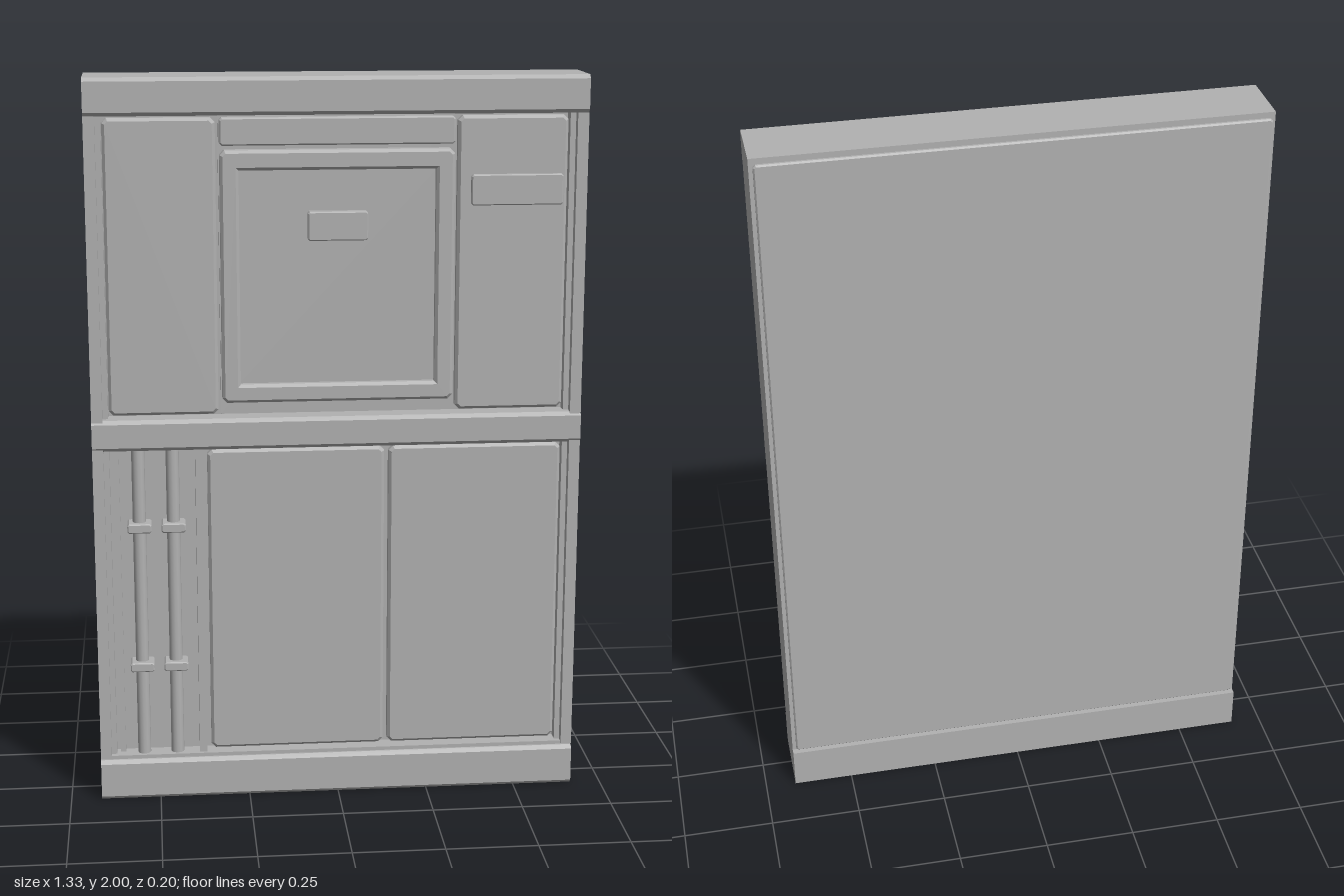
import * as THREE from 'three';

const grey = new THREE.MeshStandardMaterial({ color: 0xb2b2b2 });
grey.name = 'panel grey';

export function createModel() {
  const root = new THREE.Group();
  root.name = 'wallPanel';

  const add = (name, geometry) => {
    const mesh = new THREE.Mesh(geometry, grey);
    mesh.name = name;
    root.add(mesh);
    return mesh;
  };

  // plain block given by its limits
  const block = (name, x0, x1, y0, y1, z0, z1) =>
    add(name, new THREE.BoxGeometry(x1 - x0, y1 - y0, z1 - z0)
      .translate((x0 + x1) / 2, (y0 + y1) / 2, (z0 + z1) / 2));

  // chamfered slab with clipped corners and an optional rectangular opening
  const slab = (name, x0, x1, y0, y1, z0, z1, b = 0.008, hole = null) => {
    const c = b;
    const [l, r, d, u] = [x0 + b, x1 - b, y0 + b, y1 - b];
    const shape = new THREE.Shape([
      [l + c, d], [r - c, d], [r, d + c], [r, u - c],
      [r - c, u], [l + c, u], [l, u - c], [l, d + c],
    ].map(p => new THREE.Vector2(...p)));
    if (hole) {
      const [hl, hr, hd, hu] = [hole[0] - b, hole[1] + b, hole[2] - b, hole[3] + b];
      shape.holes.push(new THREE.Path([[hl, hd], [hl, hu], [hr, hu], [hr, hd]]
        .map(p => new THREE.Vector2(...p))));
    }
    return add(name, new THREE.ExtrudeGeometry(shape, {
      depth: z1 - z0 - 2 * b, bevelEnabled: true, bevelSize: b,
      bevelThickness: b, bevelSegments: 1,
    }).translate(0, 0, z0 + b));
  };

  // full-width rail with chamfered front edges
  const rail = (name, y0, y1, z0, z1) => {
    const b = 0.01;
    const profile = new THREE.Shape([
      [z0, y0], [z1 - b, y0], [z1, y0 + b], [z1, y1 - b], [z1 - b, y1], [z0, y1],
    ].map(p => new THREE.Vector2(...p)));
    add(name, new THREE.ExtrudeGeometry(profile, { depth: 1.33, bevelEnabled: false })
      .rotateY(-Math.PI / 2).translate(0.665, 0, 0));
  };

  // carcass and rear plate with a shadow gap around it
  block('carcass', -0.665, 0.665, 0.12, 1.9, -0.08, 0.035);
  block('rearSpacer', -0.645, 0.645, 0.12, 1.975, -0.088, -0.08);
  slab('rearPlate', -0.655, 0.655, 0.125, 1.988, -0.098, -0.084, 0.004);

  // horizontal rails
  rail('topRail', 1.9, 2, -0.08, 0.1);
  rail('middleRail', 1.005, 1.09, 0.03, 0.1);
  rail('baseRail', 0, 0.115, -0.098, 0.1);
  block('baseStep', -0.665, 0.665, 0.115, 0.125, -0.08, 0.085);

  // side stiles with an inner step
  for (const s of [-1, 1]) {
    for (const [x0, x1, z] of [[0.635, 0.665, 0.095], [0.62, 0.635, 0.07]]) {
      block('sideStile', Math.min(s * x0, s * x1), Math.max(s * x0, s * x1), 0.12, 1.9, 0.03, z);
    }
  }

  // fixed panels
  slab('upperPanel', -0.618, -0.322, 1.095, 1.892, 0.02, 0.06);
  slab('upperPanel', 0.322, 0.618, 1.095, 1.892, 0.02, 0.06);
  slab('lowerPanel', -0.355, 0.13, 0.128, 0.995, 0.02, 0.06);
  slab('lowerPanel', 0.142, 0.618, 0.128, 0.995, 0.02, 0.06);

  // central hatch with a framed recess
  block('hatchBacking', -0.315, 0.315, 1.095, 1.895, 0.02, 0.05);
  slab('hatchFrame', -0.312, 0.312, 1.13, 1.808, 0.035, 0.085, 0.008,
    [-0.262, 0.262, 1.18, 1.755]);
  block('hatchPanel', -0.275, 0.275, 1.17, 1.765, 0.035, 0.062);
  slab('hatchHeader', -0.312, 0.312, 1.82, 1.893, 0.035, 0.08, 0.004);
  slab('hatchHandle', -0.08, 0.08, 1.568, 1.645, 0.05, 0.09, 0.003);
  slab('sidePlaque', 0.358, 0.605, 1.655, 1.737, 0.045, 0.075, 0.003);

  // service niche: dividing ribs, pipes and clamps
  block('nicheRib', -0.388, -0.368, 0.12, 1.005, 0.03, 0.075);
  block('nicheRib', -0.61, -0.595, 0.12, 1.005, 0.03, 0.055);
  for (const x of [-0.543, -0.45]) {
    const pipe = add('pipe', new THREE.CylinderGeometry(0.018, 0.018, 0.89, 12));
    pipe.position.set(x, 0.562, 0.058);
    for (const y of [0.385, 0.785]) {
      slab('pipeClamp', x - 0.033, x + 0.033, y - 0.013, y + 0.013, 0.03, 0.09, 0.003);
    }
  }
  return root;
}
